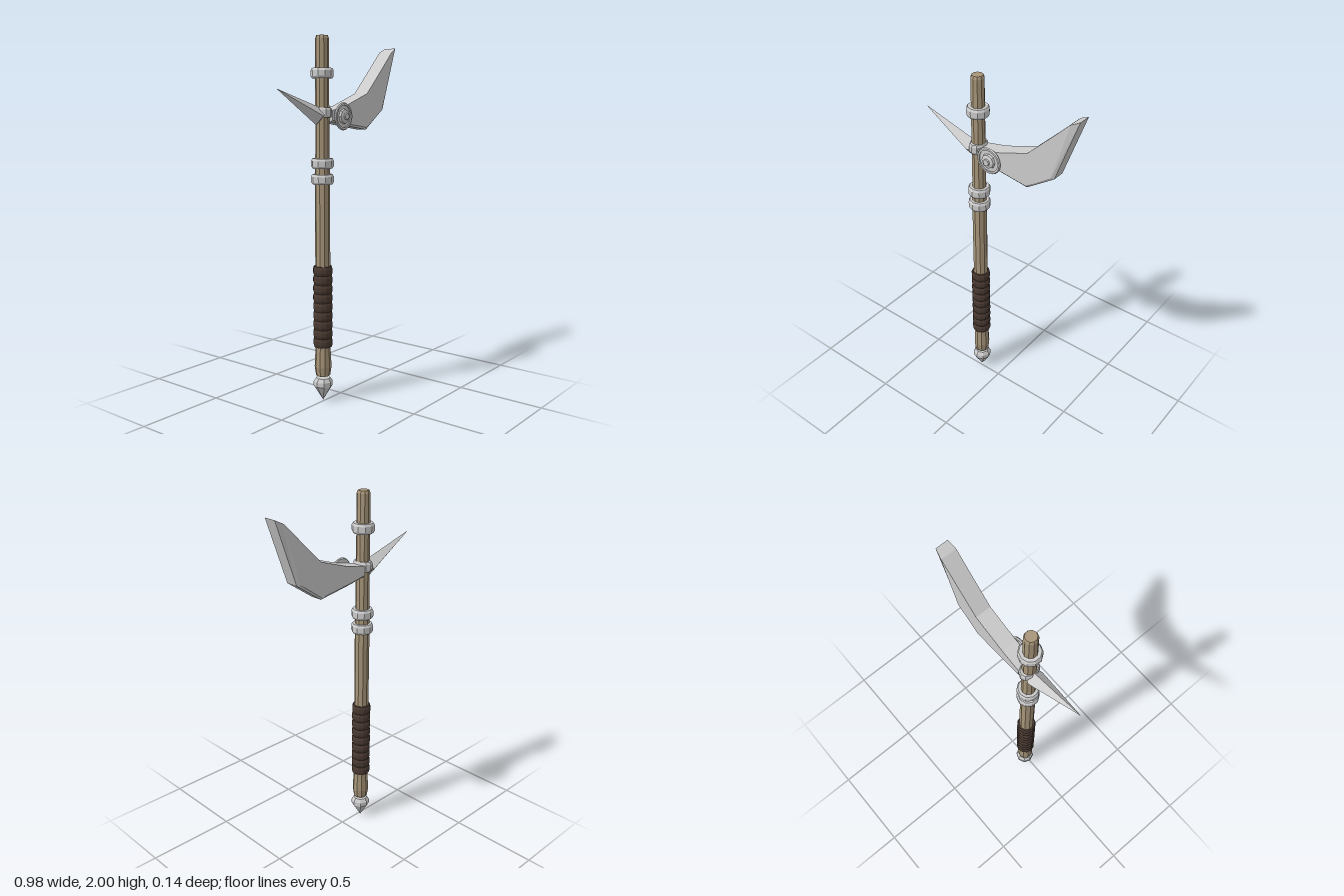
import * as THREE from 'three';

const material = (color) =>
  new THREE.MeshStandardMaterial({ color, flatShading: true, side: THREE.DoubleSide });

const AXIS_X = -0.14, AXIS_Z = -0.014, SIDES = 10;

// Joins equal-length rings of [x, y, z] points into a closed, faceted solid.
function loft(rings) {
  const n = rings[0].length, index = [];
  for (let i = 0; i < rings.length - 1; i++) {
    for (let j = 0; j < n; j++) {
      const k = (j + 1) % n, a = i * n + j, b = i * n + k;
      index.push(a, b, b + n, a, b + n, a + n);
    }
  }
  const last = (rings.length - 1) * n;
  for (let j = 1; j < n - 1; j++) {
    index.push(0, j + 1, j, last, last + j, last + j + 1);
  }
  const geometry = new THREE.BufferGeometry();
  geometry.setAttribute('position', new THREE.Float32BufferAttribute(rings.flat(2), 3));
  geometry.setIndex(index);
  const flat = geometry.toNonIndexed();
  flat.computeVertexNormals();
  return flat;
}

// Turned part from [radius, height] pairs, listed bottom to top.
const turned = (profile, sides = SIDES) =>
  new THREE.LatheGeometry(profile.map(([r, y]) => new THREE.Vector2(r, y)), sides);

export function createModel() {
  const model = new THREE.Group();
  const metal = material(0xcccccc);
  const wood = material(0xa8967a);
  const leather = material(0x4a3a32);

  const add = (name, geometry, mat, x = AXIS_X, y = 0, z = AXIS_Z) => {
    const mesh = new THREE.Mesh(geometry, mat);
    mesh.name = name;
    mesh.position.set(x, y, z);
    model.add(mesh);
    return mesh;
  };

  // Wooden handle, swelling slightly at the foot
  add('shaft', turned([
    [0, 0.15], [0.04, 0.15], [0.047, 0.2], [0.042, 0.3], [0.041, 0.8],
    [0.041, 1.2], [0.038, 1.4], [0.036, 1.985], [0.03, 2], [0, 2],
  ]), wood);

  // Leather wrap with one bulge per turn
  const wrap = [[0.04, 0.315]], turns = 9, step = 0.455 / turns;
  for (let i = 0; i < turns; i++) {
    const y = 0.315 + i * step;
    wrap.push([0.049, y], [0.054, y + step * 0.3], [0.054, y + step * 0.7]);
  }
  wrap.push([0.049, 0.77], [0.04, 0.77]);
  add('gripWrap', turned(wrap, 12), leather);

  // Pointed pommel
  add('pommel', turned([
    [0, 0.005], [0.053, 0.09], [0.053, 0.115], [0.04, 0.135], [0, 0.135],
  ], 8), metal);

  // Collars around the shaft
  const collar = [
    [0.036, -0.027], [0.054, -0.027], [0.061, -0.015],
    [0.061, 0.015], [0.054, 0.027], [0.036, 0.027],
  ];
  for (const y of [1.245, 1.33, 1.805]) add('collar', turned(collar), metal, AXIS_X, y);
  const headBand = add('headBand', turned(collar), metal, AXIS_X, 1.6);
  headBand.scale.set(0.7, 1, 0.95);

  // Blade: back edge, shoulder of the bevel and cutting edge at five stations
  const back = [[-0.11, 1.61], [0.01, 1.635], [0.2, 1.7], [0.32, 1.818], [0.436, 1.935]];
  const shoulder = [[-0.11, 1.56], [0, 1.54], [0.2, 1.512], [0.345, 1.615], [0.442, 1.938]];
  const edge = [[-0.11, 1.55], [0, 1.53], [0.2, 1.5], [0.36, 1.61], [0.485, 1.96]];
  add('blade', loft(back.map((b, i) => [
    [...b, 0.044], [...shoulder[i], 0.044], [...edge[i], 0.035],
    [...edge[i], -0.035], [...shoulder[i], -0.044], [...b, -0.044],
  ])), metal, 0);

  // Four-sided spike opposite the blade
  const diamond = (x, y, h, w, lean) => [
    [x + lean, y + h, 0], [x, y, w], [x - lean, y - h, 0], [x, y, -w],
  ];
  add('spike', loft([
    diamond(-0.49, 1.72, 0.001, 0.001, 0),
    diamond(-0.185, 1.583, 0.048, 0.046, 0.008),
    diamond(-0.14, 1.595, 0.03, 0.03, 0),
  ]), metal, 0);

  // Round boss on the front of the blade root
  const boss = new THREE.Group();
  boss.name = 'boss';
  boss.position.set(-0.028, 1.578, 0.03);
  boss.rotation.x = Math.PI / 2;
  const bossParts = {
    bossRing: turned([
      [0.06, 0.005], [0.07, 0.005], [0.075, 0.011], [0.07, 0.018], [0.06, 0.018], [0.06, 0.005],
    ], 20),
    bossPlate: turned([[0, 0], [0.061, 0.004], [0.061, 0.011], [0, 0.013]], 20),
    bossStud: turned([[0.042, 0.01], [0.038, 0.024], [0.02, 0.03], [0.018, 0.038], [0, 0.038]], 8),
  };
  for (const [name, geometry] of Object.entries(bossParts)) {
    const mesh = new THREE.Mesh(geometry, metal);
    mesh.name = name;
    boss.add(mesh);
  }
  model.add(boss);

  return model;
}
